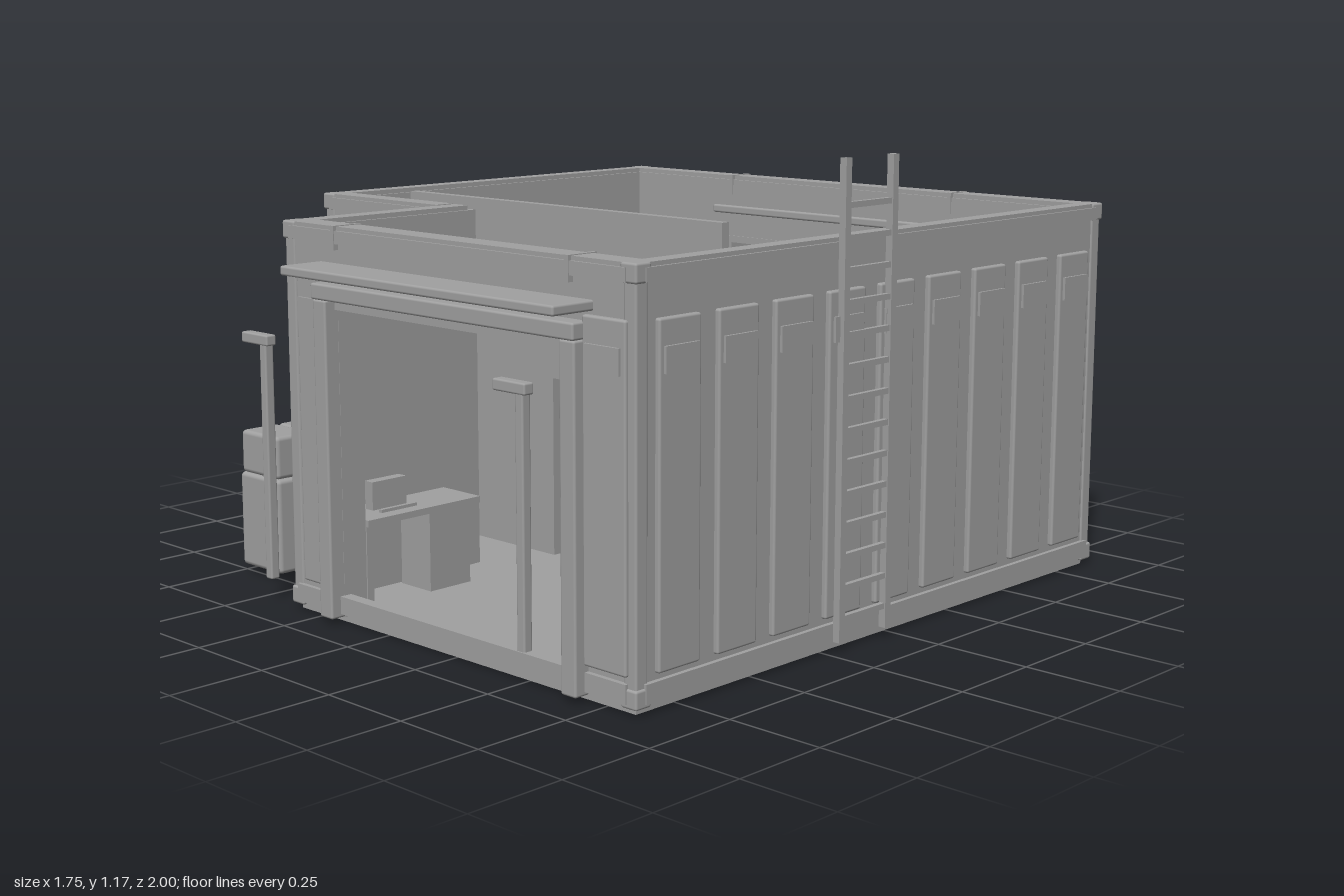
import * as THREE from 'three';
import { RoundedBoxGeometry } from 'three/addons/geometries/RoundedBoxGeometry.js';

export function createModel() {
  const root = new THREE.Group();
  root.name = 'openRoofWorkshop';
  const grey = new THREE.MeshStandardMaterial({ color: 0xa0a0a0 });
  grey.name = 'plain grey';

  const add = (parent, name, geo, x = 0, y = 0, z = 0) => {
    const m = new THREE.Mesh(geo, grey);
    m.name = name;
    m.position.set(x, y, z);
    parent.add(m);
    return m;
  };
  // Box given by its limits on each axis
  const box = (parent, name, x0, x1, y0, y1, z0, z1, r = 0) => add(parent, name,
    r ? new RoundedBoxGeometry(x1 - x0, y1 - y0, z1 - z0, 2, r) : new THREE.BoxGeometry(x1 - x0, y1 - y0, z1 - z0),
    (x0 + x1) / 2, (y0 + y1) / 2, (z0 + z1) / 2);
  const group = (name, x = 0, y = 0, z = 0) => {
    const g = new THREE.Group();
    g.name = name;
    g.position.set(x, y, z);
    root.add(g);
    return g;
  };
  // Round or square rod between two points
  const rod = (parent, name, a, b, r, sides = 12) => {
    const p = new THREE.Vector3(...a), q = new THREE.Vector3(...b), d = q.clone().sub(p);
    const m = add(parent, name, new THREE.CylinderGeometry(r, r, d.length(), sides));
    m.position.copy(p).lerp(q, 0.5);
    m.quaternion.setFromUnitVectors(new THREE.Vector3(0, 1, 0), d.normalize());
    return m;
  };

  // L-shaped floor
  const outline = [[-0.835, 0.87], [0.835, 0.87], [0.835, -0.87], [-0.345, -0.87], [-0.345, -0.365], [-0.835, -0.365]];
  const floorGeo = new THREE.ExtrudeGeometry(new THREE.Shape(outline.map(p => new THREE.Vector2(...p))),
    { depth: 0.018, bevelEnabled: false });
  floorGeo.rotateX(-Math.PI / 2);
  add(root, 'floor', floorGeo);

  // Walls: local x runs along the wall, local z points outward, outer face at z = 0
  const TOP = 0.975, OPEN = 0.405;
  const buildWall = (name, ry, cx, cz, len, thick, panels, door) => {
    const w = group(name, cx, 0, cz);
    w.rotation.y = ry;
    const h = len / 2;
    if (door) {
      box(w, 'wallBoard', -h, -OPEN, 0.015, TOP, -thick, 0);
      box(w, 'wallBoard', OPEN, h, 0.015, TOP, -thick, 0);
      box(w, 'lintel', -OPEN, OPEN, 0.79, TOP, -thick, 0);
      for (const s of [-1, 1]) {
        const x = s * 0.43;
        box(w, 'doorPost', x - 0.024, x + 0.024, 0.015, 0.81, -0.03, 0.04, 0.006);
        box(w, 'topJoint', s * OPEN - 0.006, s * OPEN + 0.006, 0.93, 0.989, -thick - 0.003, 0.014);
      }
      box(w, 'doorHeader', -0.455, 0.455, 0.81, 0.85, -0.03, 0.045, 0.006);
      box(w, 'innerDoorHeader', -0.42, 0.42, 0.785, 0.805, -thick - 0.004, 0.01);
      box(w, 'canopy', -0.473, 0.473, 0.873, 0.897, -0.07, 0.12, 0.006);
    } else {
      box(w, 'wallBoard', -h, h, 0.015, TOP, -thick, 0);
    }
    box(w, 'baseRail', -h + 0.02, h - 0.02, 0.025, 0.07, -0.02, 0.012);
    box(w, 'topRail', -h + 0.02, h - 0.02, 0.945, 0.977, -0.01, 0.012);
    box(w, 'topCap', -h + 0.02, h - 0.02, TOP, 0.987, -thick + 0.008, 0.005);
    // Raised panels, each with a small plate near the top
    for (const x of panels) {
      box(w, 'panel', x - 0.066, x + 0.066, 0.085, 0.865, -0.013, 0.013, 0.006);
      box(w, 'panelPlate', x - 0.053, x + 0.053, 0.745, 0.805, 0.012, 0.02);
    }
  };
  const step = 0.189, seq = (n, c) => Array.from({ length: n }, (_, i) => -0.755 + step * i - c);
  const Q = Math.PI / 2;
  buildWall('rightWall', Q, 0.845, 0, 1.76, 0.05, seq(9, 0));
  buildWall('leftWall', -Q, -0.845, -0.2525, 1.255, 0.05, seq(6, -0.2525));
  buildWall('backWall', Math.PI, 0, -0.88, 1.69, 0.06, [-0.72, -0.535, 0.535, 0.72], true);
  buildWall('frontWall', 0, 0.245, 0.88, 1.2, 0.07, [-0.485, 0.515], true);
  buildWall('recessFrontWall', 0, -0.6, 0.375, 0.49, 0.06, [-0.13, 0.06]);
  buildWall('recessSideWall', -Q, -0.355, 0.595, 0.57, 0.055, [-0.01, 0.17]);

  // Corner posts with foot and head blocks
  for (const [x, z] of [[0.83, 0.865], [0.83, -0.865], [-0.83, -0.865], [-0.83, 0.36], [-0.34, 0.865]]) {
    box(root, 'cornerPost', x - 0.019, x + 0.019, 0.015, 0.988, z - 0.019, z + 0.019, 0.006);
    for (const y of [0.015, 0.943])
      box(root, 'cornerBlock', x - 0.024, x + 0.024, y, y + 0.045, z - 0.024, z + 0.024, 0.006);
  }

  // Inner partition with a doorway
  const part = group('partition');
  box(part, 'partitionBoard', -0.795, -0.21, 0.018, 0.978, 0.092, 0.118);
  box(part, 'partitionBoard', 0.05, 0.4, 0.018, 0.978, 0.092, 0.118);
  box(part, 'partitionLintel', -0.21, 0.05, 0.51, 0.978, 0.092, 0.118);

  // Ladder on the right wall
  const ladder = group('ladder');
  for (const z of [0.04, 0.215]) box(ladder, 'ladderRail', 0.857, 0.876, 0.025, 1.17, z - 0.01, z + 0.01);
  for (let i = 0; i < 14; i++) {
    const y = 0.08 + i * 0.0755;
    box(ladder, 'rung', 0.86, 0.873, y - 0.007, y + 0.007, 0.04, 0.215);
  }

  // Bent standpipes in front of the building
  for (const x of [-0.462, 0.488]) {
    const pipe = group('standpipe', x, 0, 0.875);
    box(pipe, 'pipeUpright', -0.013, 0.013, 0.055, 0.675, -0.013, 0.013, 0.005);
    box(pipe, 'pipeArm', -0.085, 0.022, 0.662, 0.69, -0.015, 0.015, 0.005);
  }

  // Storage crates in the recess
  const crates = group('crates');
  box(crates, 'lowerCrate', -0.742, -0.572, 0.02, 0.275, 0.53, 0.77, 0.012);
  for (const z of [0.532, 0.652]) box(crates, 'upperCrate', -0.735, -0.577, 0.275, 0.39, z, z + 0.116, 0.012);

  // Small utility boxes on the left side
  for (const z of [-0.5, 0.5]) box(root, 'utilityBox', -0.875, -0.836, 0.04, 0.19, z - 0.05, z + 0.05, 0.008);

  // Horizontal tank on a skid
  const tank = group('tank', 0.567, 0, 0);
  const profile = [[0, -0.385], [0.115, -0.385], [0.12, -0.392], [0.15, -0.385], [0.156, -0.36], [0.142, -0.355],
    [0.142, 0.355], [0.156, 0.36], [0.15, 0.385], [0.12, 0.392], [0.115, 0.385], [0, 0.385]];
  const lathe = new THREE.LatheGeometry(profile.map(p => new THREE.Vector2(...p)), 24);
  add(tank, 'tankBody', lathe, 0, 0.295, 0).rotation.x = Q;
  for (const z of [-0.3, -0.1, 0.085, 0.28])
    add(tank, 'tankBand', new THREE.CylinderGeometry(0.152, 0.152, 0.028, 24), 0, 0.295, z).rotation.x = Q;
  box(tank, 'skid', -0.155, 0.155, 0.018, 0.1, -0.37, 0.37);
  for (const z of [-0.27, 0.27]) box(tank, 'saddle', -0.1, 0.1, 0.1, 0.2, z - 0.03, z + 0.03);
  for (const z of [-0.34, 0.34]) box(tank, 'drainBlock', -0.04, 0.04, 0.1, 0.15, z - 0.02, z + 0.02);

  // Jointed arms above the tank
  const arm = (z, reach) => {
    const a = group('jointedArm', 0.567, 0, z);
    rod(a, 'upperArm', [0.105, 0.39, -0.04], [0.005, 0.51, 0.01], 0.02, 8);
    box(a, 'armHead', -0.03, 0.03, 0.475, 0.555, -0.02, 0.07);
    rod(a, 'foreArm', [-0.01, 0.48, 0.02], [-0.01 - 0.06 * reach, 0.48 - 0.2 * reach, 0.02 + 0.1 * reach], 0.015, 8);
    box(a, 'armMount', 0.07, 0.12, 0.36, 0.42, -0.07, -0.01);
  };
  arm(-0.23, 0.3);
  arm(0.31, 1);

  // Cabinet beside the tank
  box(root, 'cabinet', 0.25, 0.4, 0.018, 0.32, -0.4, -0.195);

  // Desk against the recess wall, with things on it
  const desk = group('desk');
  box(desk, 'deskTop', -0.3, -0.155, 0.23, 0.247, 0.435, 0.805);
  box(desk, 'deskPedestal', -0.29, -0.175, 0.018, 0.23, 0.455, 0.59);
  box(desk, 'deskLeg', -0.29, -0.175, 0.018, 0.23, 0.775, 0.795);
  box(desk, 'deskBox', -0.26, -0.23, 0.247, 0.32, 0.62, 0.73);
  box(desk, 'deskStrip', -0.206, -0.194, 0.247, 0.255, 0.615, 0.73);

  return root;
}
